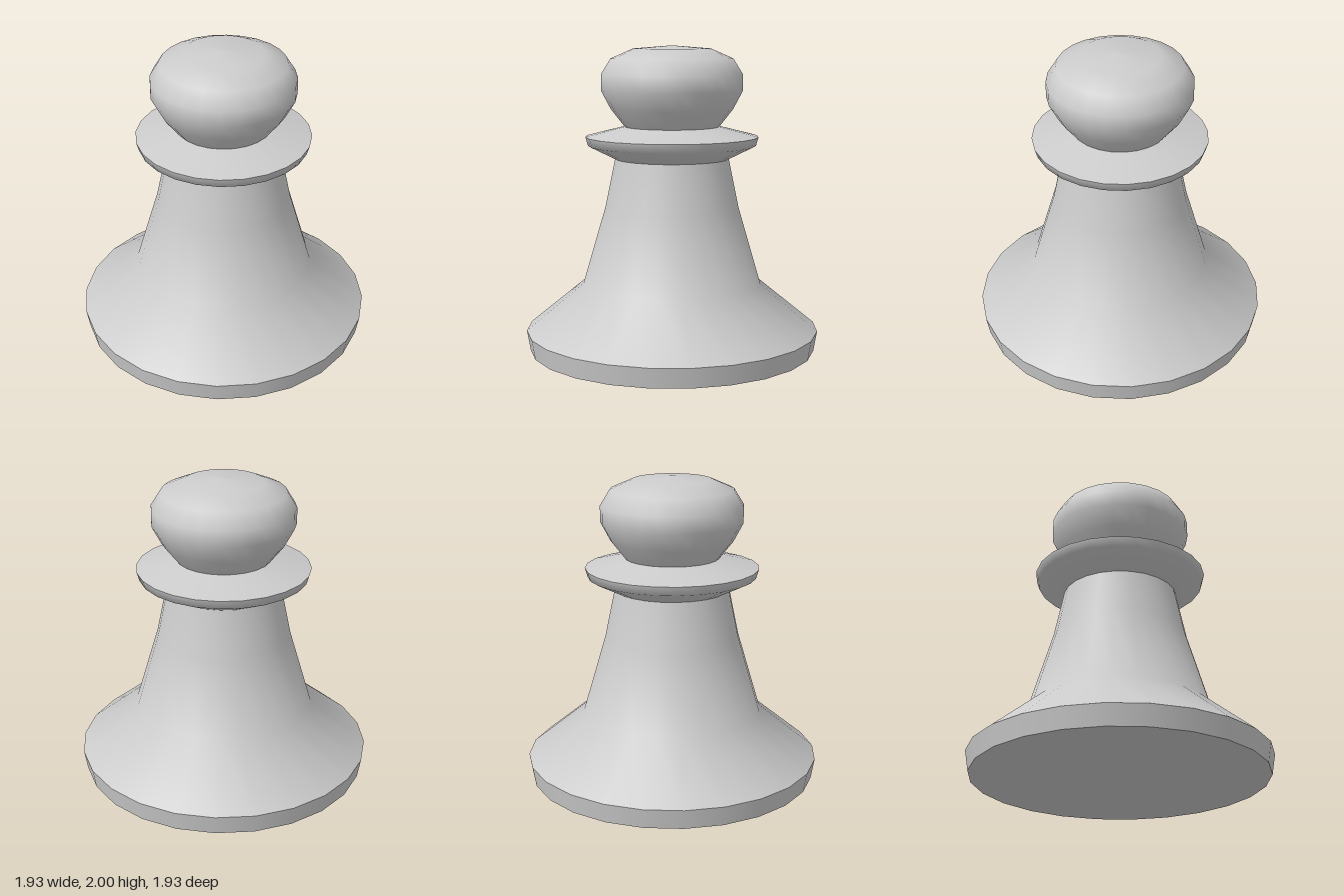
import * as THREE from 'three';

const SIDES = 24;

export function createModel() {
  const group = new THREE.Group();
  group.name = 'pawn';
  const material = new THREE.MeshStandardMaterial({ color: 0xcccccc });

  // Each turned part is smooth within itself; separate parts meet in hard edges.
  const turned = (name, profile) => {
    const points = profile.map(([r, y]) => new THREE.Vector2(r, y));
    const geometry = new THREE.LatheGeometry(points, SIDES);
    geometry.normalizeNormals();
    const mesh = new THREE.Mesh(geometry, material);
    mesh.name = name;
    group.add(mesh);
  };

  // Foot
  turned('underside', [[0, 0], [0.945, 0]]);
  turned('baseRim', [[0.945, 0], [0.967, 0.13]]);

  // Flared base running up into the stem
  turned('stem', [[0.967, 0.13], [0.59, 0.44], [0.44, 0.95], [0.375, 1.265]]);

  // Collar: bevelled underside and edge, then a sloping top
  turned('collarUnderside', [[0.375, 1.265], [0.55, 1.352], [0.567, 1.41]]);
  turned('collarTop', [[0.567, 1.41], [0.31, 1.475]]);

  // Rounded head
  turned('head', [
    [0.31, 1.475], [0.4, 1.59], [0.463, 1.71], [0.463, 1.815],
    [0.4, 1.917], [0.255, 1.98], [0, 2],
  ]);

  return group;
}
